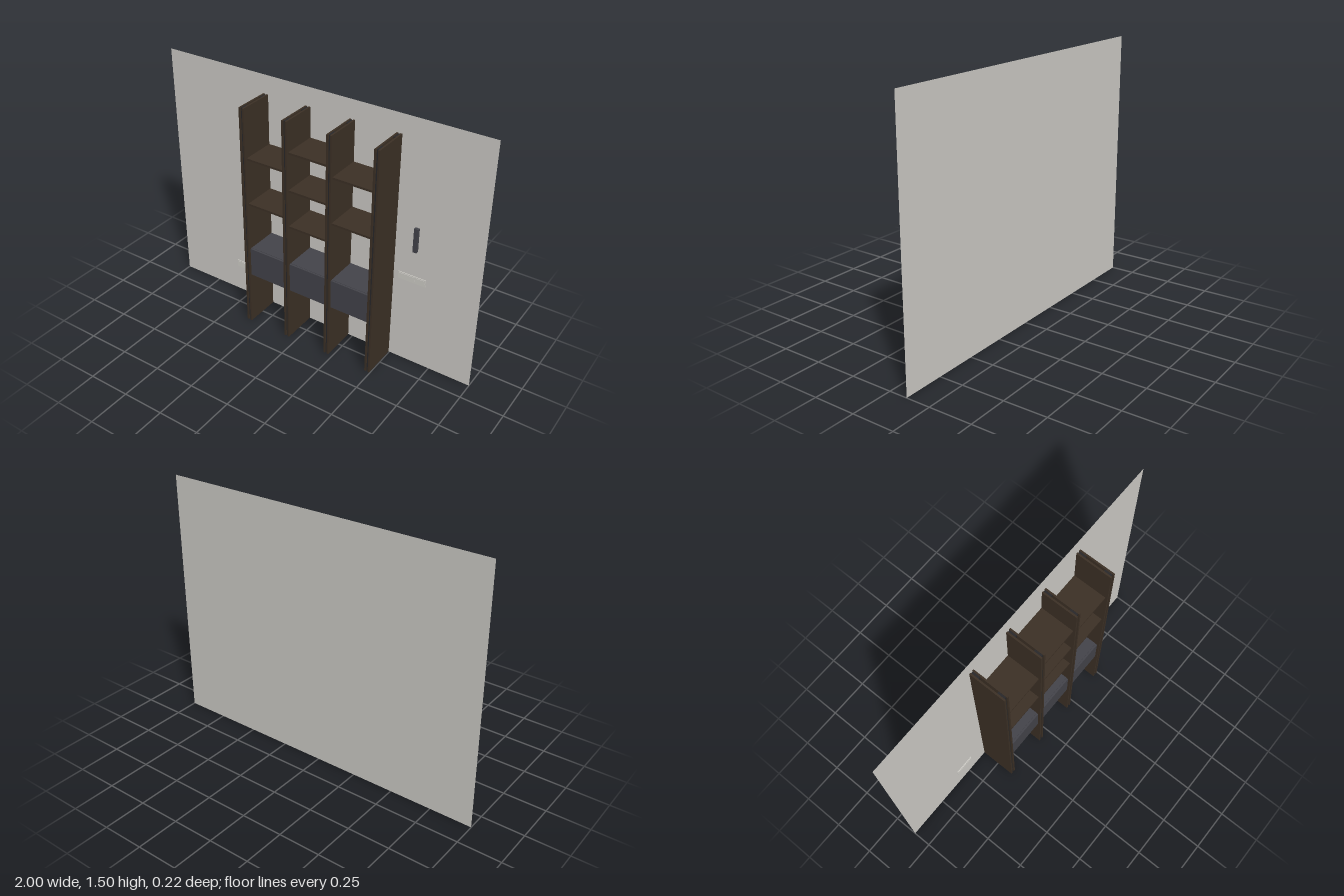
import * as THREE from 'three';

export function createModel() {
  const model = new THREE.Group();
  const material = (name, color, side = THREE.FrontSide) => {
    const m = new THREE.MeshStandardMaterial({ color, side });
    m.name = name;
    return m;
  };
  const wood = material('dark wood', 0x3d3126);
  const charcoal = material('charcoal lacquer', 0x44444b);
  const spacerDark = material('dark spacer', 0x29282a);
  const wallPaint = material('wall paint', 0xd0cec9, THREE.DoubleSide);
  const plateWhite = material('socket plate', 0xd3d1cb);

  // Box given by its lower and upper limits on each axis
  const box = (name, mat, [x0, x1], [y0, y1], [z0, z1], parent = model) => {
    const mesh = new THREE.Mesh(new THREE.BoxGeometry(x1 - x0, y1 - y0, z1 - z0), mat);
    mesh.position.set((x0 + x1) / 2, (y0 + y1) / 2, (z0 + z1) / 2);
    mesh.name = name;
    parent.add(mesh);
    return mesh;
  };

  // Wall: a single flat sheet behind the shelving
  const back = -0.108, front = 0.108;
  const wall = new THREE.Mesh(new THREE.PlaneGeometry(2, 1.5), wallPaint);
  wall.position.set(0, 0.75, back - 0.0005);
  wall.name = 'wall';
  model.add(wall);

  // Uprights: two thin panels with spacer strips between them
  const uprightX = [-0.34, -0.067, 0.206, 0.479];
  const half = 0.016, panel = 0.01, top = 1.39;
  for (const x of uprightX) {
    const upright = new THREE.Group();
    upright.name = 'upright';
    model.add(upright);
    box('leftPanel', wood, [x + half - panel, x + half], [0, top], [back, front], upright);
    box('rightPanel', wood, [x - half, x - half + panel], [0, top], [back, front], upright);
    for (const z of [[-0.104, -0.06], [0.055, 0.1]]) {
      box('spacer', spacerDark, [x - half + panel, x + half - panel], [0, top - 0.002], z, upright);
    }
  }

  // Shelves and a cabinet in each bay
  const shelfY = [[0.805, 1.088], [0.755, 0.98, 1.206], [0.872, 1.146]];
  shelfY.forEach((heights, i) => {
    const bay = [uprightX[i] + half, uprightX[i + 1] - half];
    for (const y of heights) box('shelf', wood, bay, [y - 0.006, y + 0.006], [back, 0.095]);
    box('cabinetBody', charcoal, bay, [0.33, 0.51], [back, 0.083]);
    box('cabinetDoor', charcoal, [bay[0] + 0.001, bay[1] - 0.001], [0.33, 0.509], [0.084, 0.095]);
  });

  // Socket plates on the wall, each with two raised inserts
  const sockets = [
    [-0.588, -0.465, 0.172, 0.217],
    [0.018, 0.112, 0.65, 0.694],
    [0.525, 0.69, 0.537, 0.581],
  ];
  for (const [x0, x1, y0, y1] of sockets) {
    const socket = new THREE.Group();
    socket.name = 'socket';
    model.add(socket);
    box('socketPlate', plateWhite, [x0, x1], [y0, y1], [back, back + 0.004], socket);
    const mid = x0 + (x1 - x0) * 0.62;
    for (const span of [[x0 + 0.006, mid - 0.003], [mid + 0.003, x1 - 0.006]]) {
      box('socketInsert', plateWhite, span, [y0 + 0.006, y1 - 0.006], [back + 0.004, back + 0.006], socket);
    }
  }

  // Small dark fitting on the wall beside the shelving
  box('wallFitting', charcoal, [0.613, 0.637], [0.752, 0.896], [-0.094, -0.076]);
  box('wallFittingMount', charcoal, [0.62, 0.63], [0.8, 0.85], [back, -0.094]);

  return model;
}
